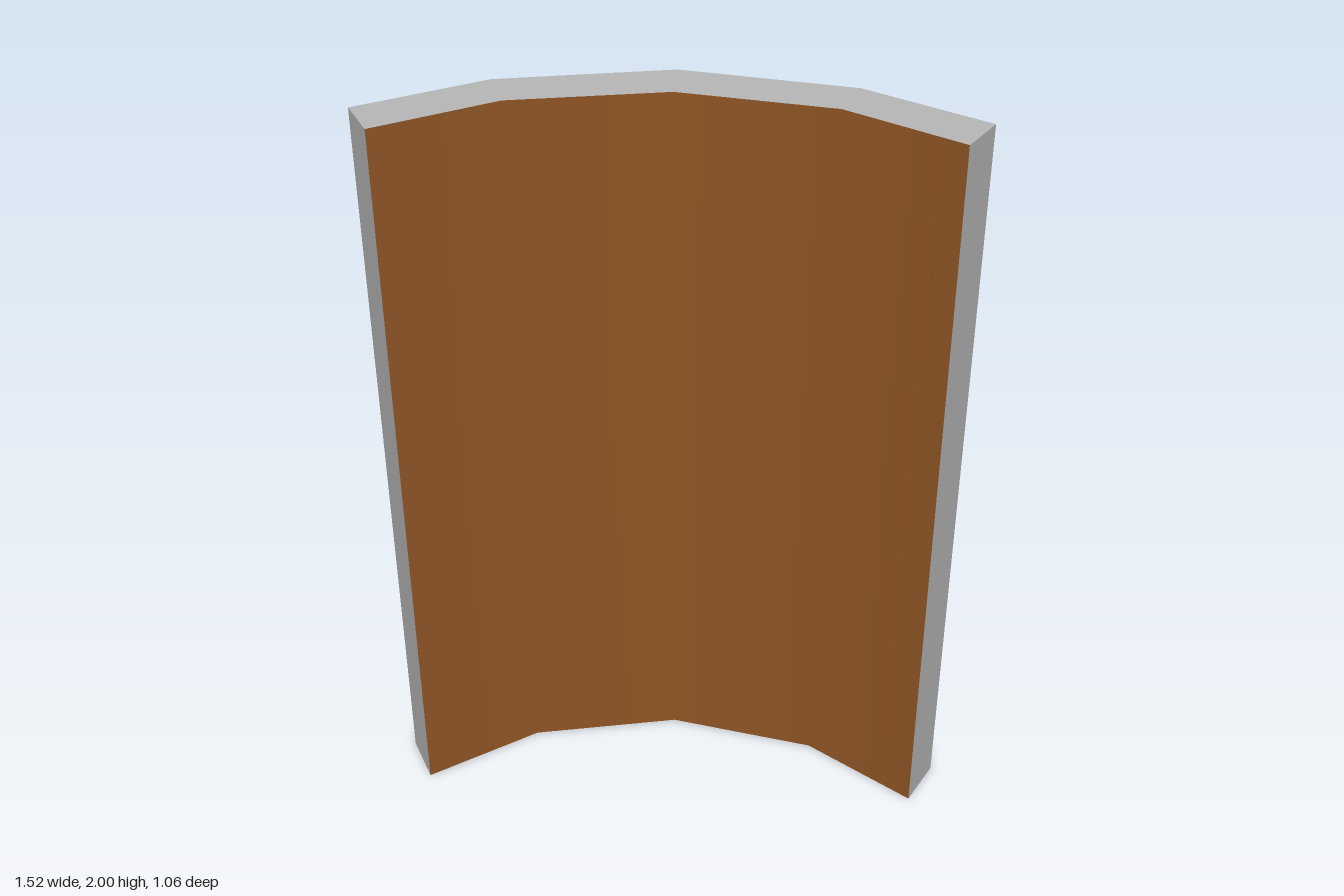
import * as THREE from 'three';

const mat = (name, color) => Object.assign(new THREE.MeshStandardMaterial({ color }), { name });

// Half profiles of the curved plate as [x, z]; mirrored to the full width
const mirror = (half) => [...half.slice(1).reverse().map(([x, z]) => [-x, z]), ...half];
const OUTER = mirror([[0, 0.09], [0.455, 0.19], [0.76, 0.4]]);
const INNER = mirror([[0, 0.245], [0.405, 0.33], [0.69, 0.53]]);

// Adds smooth normals pointing to -z (side -1) or +z (side 1): [x, z, nx, nz]
function withNormals(pts, side) {
  return pts.map(([x, z], i) => {
    const n = new THREE.Vector2();
    for (const k of [i - 1, i]) {
      if (k < 0 || k > pts.length - 2) continue;
      const dx = pts[k + 1][0] - pts[k][0], dz = pts[k + 1][1] - pts[k][1];
      n.add(new THREE.Vector2(-dz, dx).normalize().multiplyScalar(side));
    }
    n.normalize();
    return [x, z, n.x, n.y];
  });
}
const outer = withNormals(OUTER, -1);
const inner = withNormals(INNER, 1);

// Upright strip through columns [x, z, nx, nz, yLow, yHigh]
function strip(cols) {
  const pos = [], nor = [], idx = [];
  cols.forEach(([x, z, nx, nz, lo = 0, hi = 2], i) => {
    pos.push(x, lo, z, x, hi, z);
    nor.push(nx, 0, nz, nx, 0, nz);
    const a = 2 * i;
    if (i < cols.length - 1) idx.push(a, a + 2, a + 1, a + 1, a + 2, a + 3);
  });
  const g = new THREE.BufferGeometry();
  g.setAttribute('position', new THREE.Float32BufferAttribute(pos, 3));
  g.setAttribute('normal', new THREE.Float32BufferAttribute(nor, 3));
  g.setIndex(idx);
  return g;
}

// Point on the convex back at x
function backAt(x) {
  let i = 0;
  while (i < outer.length - 2 && x > outer[i + 1][0]) i++;
  const p = outer[i], q = outer[i + 1], t = (x - p[0]) / (q[0] - p[0]);
  return p.map((v, k) => v + (q[k] - v) * t);
}

// Thin painted patch on the back; outline is [x, half height] in rising x
function patch(outline, cy, lift) {
  const xs = outline.map((p) => p[0]);
  const [x0, x1] = [xs[0], xs[xs.length - 1]];
  for (const p of OUTER) if (p[0] > x0 && p[0] < x1) xs.push(p[0]);
  xs.sort((a, b) => b - a);
  return strip(xs.map((x) => {
    let i = 0;
    while (i < outline.length - 2 && x > outline[i + 1][0]) i++;
    const [a, ha] = outline[i], [b, hb] = outline[i + 1];
    const h = ha + (hb - ha) * (x - a) / (b - a);
    const [px, pz, nx, nz] = backAt(x);
    return [px + nx * lift, pz + nz * lift, nx, nz, cy - h, cy + h];
  }));
}
const octagon = (cx, rx, ry) =>
  [[-1, 0.4], [-0.45, 1], [0.45, 1], [1, 0.4]].map(([x, h]) => [cx + x * rx, h * ry]);

export function createModel() {
  const frame = mat('frame grey', 0xb8b8b8);
  const dark = mat('panel grey', 0x757575);
  const brown = mat('inner brown', 0x8f5525);
  const teal = mat('teal', 0x63b1b1);
  const deepTeal = mat('deep teal', 0x3e8280);
  const steel = mat('spike grey', 0xcacaca);

  const group = new THREE.Group();
  const add = (name, geo, material) => {
    const m = new THREE.Mesh(geo, material);
    m.name = name;
    group.add(m);
    return m;
  };

  // Curved plate: concave front, convex back, ends and caps
  add('innerFace', strip(inner), brown);
  add('outerFace', strip([...outer].reverse()), frame);
  const end = (p, q) => {
    const n = new THREE.Vector2(p[1] - q[1], q[0] - p[0]).normalize();
    return strip([p, q].map(([x, z]) => [x, z, n.x, n.y]));
  };
  add('leftEnd', end(INNER[4], OUTER[4]), frame);
  add('rightEnd', end(OUTER[0], INNER[0]), frame);
  const cap = (s) => new THREE.ShapeGeometry(new THREE.Shape(
    [...INNER, ...[...OUTER].reverse()].map(([x, z]) => new THREE.Vector2(x, s * z))));
  add('bottomCap', cap(1).rotateX(Math.PI / 2), frame);
  add('topCap', cap(-1).rotateX(-Math.PI / 2).translate(0, 2, 0), frame);

  // Dark field with clipped corners
  add('backPanel', patch([[-0.68, 0.77], [-0.655, 0.85], [-0.59, 0.92],
    [0.59, 0.92], [0.655, 0.85], [0.68, 0.77]], 1, 0.002), dark);

  // Ringed studs near the corners
  for (const sx of [-1, 1]) {
    for (const sy of [-1, 1]) {
      add('studRing', patch(octagon(sx * 0.5, 0.115, 0.1), 1 + sy * 0.74, 0.004), deepTeal);
      add('stud', patch(octagon(sx * 0.5, 0.09, 0.08), 1 + sy * 0.74, 0.006), teal);
      add('rivetRing', patch(octagon(sx * 0.7, 0.043, 0.045), 1 + sy * 0.937, 0.004), dark);
      add('rivet', patch(octagon(sx * 0.7, 0.03, 0.032), 1 + sy * 0.937, 0.006), teal);
    }
  }

  // Small scratch on the panel
  const scratch = new THREE.Shape([[0, 0.34], [0.03, 0.34], [0.085, 0.42], [0.065, 0.445],
    [0, 0.37]].map(([x, y]) => new THREE.Vector2(x, y)));
  const scratchGeo = new THREE.ShapeGeometry(scratch).rotateY(Math.PI - 0.216);
  add('scratch', scratchGeo.translate(0, 0, 0.087), frame);

  // Hexagonal boss bent to follow the plate
  const ring = (rx, ry, hx, zMid, zSide) => [[rx, 0, zSide], [hx, ry, zMid], [-hx, ry, zMid],
    [-rx, 0, zSide], [-hx, -ry, zMid], [hx, -ry, zMid]].map(([x, y, z]) => [x, y + 1.03, z]);
  const base = ring(0.39, 0.335, 0.19, 0.138, 0.175);
  const face = ring(0.345, 0.298, 0.17, 0.05, 0.092);
  const tri = [];
  for (let i = 0; i < 6; i++) {
    const j = (i + 1) % 6;
    tri.push(base[i], face[i], base[j], base[j], face[i], face[j]);
  }
  for (const [a, b, c] of [[0, 5, 1], [1, 5, 4], [1, 4, 2], [2, 4, 3]]) {
    tri.push(face[a], face[b], face[c]);
  }
  const bossGeo = new THREE.BufferGeometry();
  bossGeo.setAttribute('position', new THREE.Float32BufferAttribute(tri.flat(), 3));
  bossGeo.computeVertexNormals();
  add('boss', bossGeo, teal);

  // Spike
  const spike = new THREE.ConeGeometry(0.068, 0.59, 24).rotateX(-Math.PI / 2);
  add('spike', spike.translate(0, 1.03, -0.235), steel);

  return group;
}
